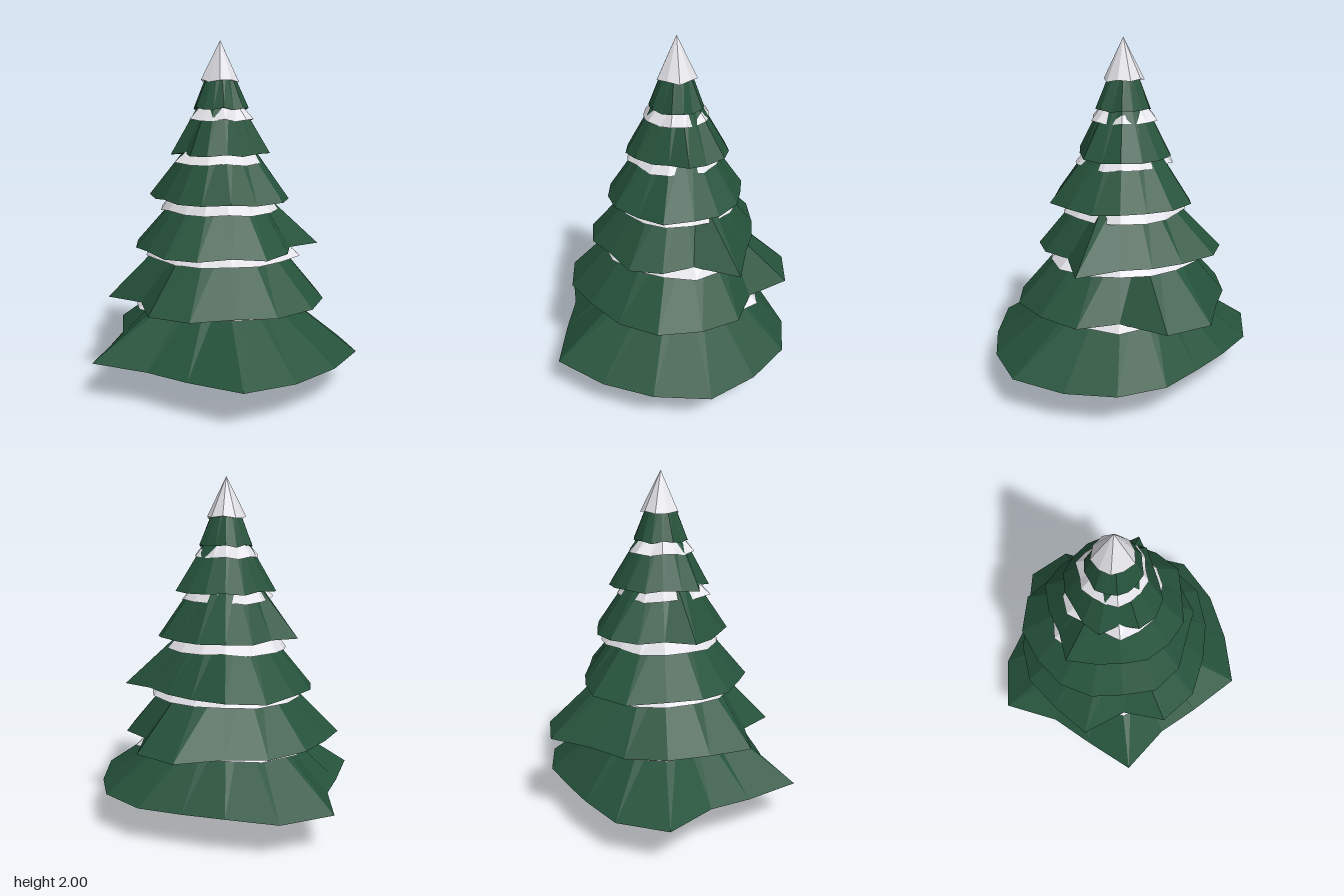
import * as THREE from 'three';

const CX = 0.036, CZ = 0.016;

// Ragged skirt: uneven rim at the bottom, regular ring (or point) at the top, closed underneath
function skirt(rim, y, topY, topR, wobble = 0.008) {
  const n = rim.length, pos = [], idx = [];
  rim.forEach((r, i) => {
    const a = (i / n) * Math.PI * 2, c = Math.cos(a), s = Math.sin(a);
    pos.push(r * c, y + wobble * Math.sin(i * 2.3), r * s);
    pos.push(topR * c, topY, topR * s);
  });
  pos.push(0, y, 0);
  for (let i = 0; i < n; i++) {
    const b = 2 * i, b2 = 2 * ((i + 1) % n);
    idx.push(b, b + 1, b2, 2 * n, b, b2);
    if (topR > 0) idx.push(b + 1, b2 + 1, b2);
  }
  const g = new THREE.BufferGeometry();
  g.setAttribute('position', new THREE.Float32BufferAttribute(pos, 3));
  g.setIndex(idx);
  const flat = g.toNonIndexed();
  flat.computeVertexNormals();
  return flat;
}

export function createModel() {
  const group = new THREE.Group();
  const mat = (name, color, flatShading) => {
    const m = new THREE.MeshStandardMaterial({ color, flatShading });
    m.name = name;
    return m;
  };
  const green = mat('needle green', 0x25523b, true);
  const white = mat('snow white', 0xe6e6ec, true);
  const brown = mat('bark brown', 0x57361f, false);
  const add = (name, geometry, material) => {
    const mesh = new THREE.Mesh(geometry, material);
    mesh.name = name;
    mesh.position.set(CX, 0, CZ);
    group.add(mesh);
  };

  // Trunk with a slightly rounded foot
  const trunk = [[0, 0], [0.066, 0], [0.073, 0.003], [0.076, 0.01], [0.076, 0.23], [0, 0.23]];
  add('trunk', new THREE.LatheGeometry(trunk.map(([x, y]) => new THREE.Vector2(x, y)), 24), brown);

  // Branch tiers: rim radii start at +x and turn towards +z
  const tiers = [
    { y: 0.208, topY: 0.62, topR: 0.23, rim: [0.675, 0.74, 0.752, 0.82, 0.787, 0.782, 0.84, 0.69, 0.658, 0.825, 0.665, 0.632, 0.82, 0.74, 0.64, 0.61] },
    { y: 0.515, topY: 0.9, topR: 0.275, rim: [0.675, 0.51, 0.6, 0.62, 0.64, 0.61, 0.6, 0.64, 0.645, 0.52, 0.667, 0.61, 0.62, 0.6, 0.59, 0.7] },
    { y: 0.808, topY: 1.18, topR: 0.19, rim: [0.455, 0.47, 0.6, 0.42, 0.475, 0.5, 0.46, 0.5, 0.51, 0.48, 0.5, 0.52, 0.53, 0.57, 0.56, 0.48] },
    { y: 1.095, topY: 1.45, topR: 0.15, rim: [0.375, 0.4, 0.4, 0.41, 0.44, 0.4, 0.42, 0.4, 0.39, 0.37, 0.38, 0.44, 0.36, 0.38, 0.42, 0.4] },
    { y: 1.355, topY: 1.68, topR: 0.1, rim: [0.3, 0.31, 0.28, 0.297, 0.25, 0.25, 0.28, 0.29, 0.28, 0.23, 0.29, 0.27, 0.25, 0.27, 0.29, 0.29] },
    { y: 1.612, topY: 1.84, topR: 0.065, rim: [0.155, 0.165, 0.15, 0.17, 0.165, 0.15, 0.16, 0.15, 0.155, 0.16, 0.15, 0.16, 0.145, 0.155, 0.16, 0.15] },
  ];
  tiers.forEach((t, i) => add(`branchTier${i + 1}`, skirt(t.rim, t.y, t.topY, t.topR), green));

  // Snow layers peeking out below each upper tier
  const snow = [
    { y: 0.478, topY: 0.6, topR: 0.4, rim: [0.48, 0.56, 0.5, 0.47, 0.47, 0.49, 0.5, 0.48, 0.49, 0.535, 0.5, 0.5, 0.55, 0.52, 0.5, 0.48] },
    { y: 0.76, topY: 0.88, topR: 0.34, rim: [0.44, 0.45, 0.44, 0.48, 0.44, 0.42, 0.45, 0.43, 0.42, 0.43, 0.44, 0.45, 0.48, 0.45, 0.46, 0.44] },
    { y: 1.03, topY: 1.15, topR: 0.26, rim: [0.355, 0.36, 0.34, 0.35, 0.36, 0.34, 0.35, 0.34, 0.33, 0.34, 0.35, 0.36, 0.395, 0.36, 0.34, 0.35] },
    { y: 1.305, topY: 1.41, topR: 0.18, rim: [0.255, 0.26, 0.26, 0.25, 0.275, 0.275, 0.26, 0.28, 0.28, 0.3, 0.25, 0.25, 0.295, 0.285, 0.25, 0.25] },
    { y: 1.548, topY: 1.65, topR: 0.11, rim: [0.18, 0.19, 0.17, 0.2, 0.19, 0.17, 0.19, 0.18, 0.185, 0.2, 0.18, 0.18, 0.195, 0.18, 0.21, 0.19] },
  ];
  snow.forEach((s, i) => add(`snowLayer${i + 1}`, skirt(s.rim, s.y, s.topY, s.topR), white));

  // Snowy tip
  const tip = [0.118, 0.11, 0.115, 0.108, 0.118, 0.102, 0.115, 0.11, 0.12, 0.115];
  add('snowTip', skirt(tip, 1.77, 2, 0), white);

  return group;
}
